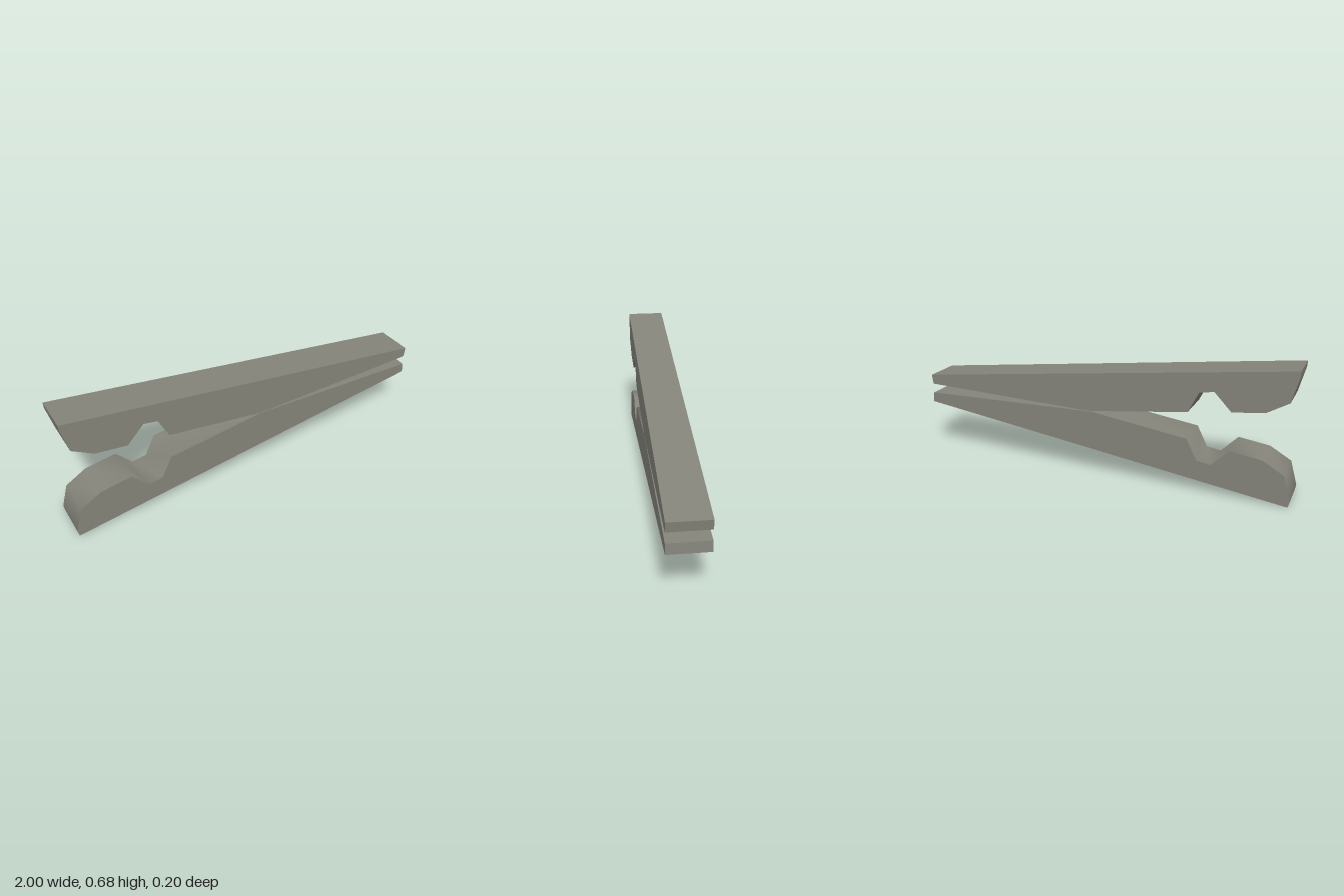
import * as THREE from 'three';
import { toCreasedNormals } from 'three/addons/utils/BufferGeometryUtils.js';

const DEPTH = 0.2;

// Side profiles, listed counter-clockwise or clockwise (extrusion fixes the order)
const upperProfile = [
  [-1, 0.681], [-0.998, 0.65], [-0.965, 0.525], [-0.857, 0.463], [-0.695, 0.443],
  [-0.608, 0.534], [-0.535, 0.522], [-0.48, 0.415], [0.03, 0.35], [0.1, 0.35],
  [0.993, 0.379], [1, 0.43],
];
const lowerProfile = [
  [-0.993, 0], [-1, 0.035], [-0.965, 0.16], [-0.857, 0.223], [-0.695, 0.246],
  [-0.608, 0.157], [-0.535, 0.168], [-0.48, 0.276], [0.03, 0.346], [0.1, 0.345],
  [0.995, 0.327], [1, 0.275],
];

// One wooden half: jaw, spring notch, pivot and tapering handle
function makeHalf(name, profile, material) {
  const shape = new THREE.Shape(profile.map(([x, y]) => new THREE.Vector2(x, y)));
  const extruded = new THREE.ExtrudeGeometry(shape, { depth: DEPTH, bevelEnabled: false });
  extruded.translate(0, 0, -DEPTH / 2);
  const mesh = new THREE.Mesh(toCreasedNormals(extruded, 1.1), material);
  mesh.name = name;
  return mesh;
}

export function createModel() {
  const group = new THREE.Group();
  group.name = 'clothespin';
  const wood = new THREE.MeshStandardMaterial({ color: 0x85847a });
  wood.name = 'weathered grey wood';
  group.add(makeHalf('upperHalf', upperProfile, wood), makeHalf('lowerHalf', lowerProfile, wood));
  return group;
}
